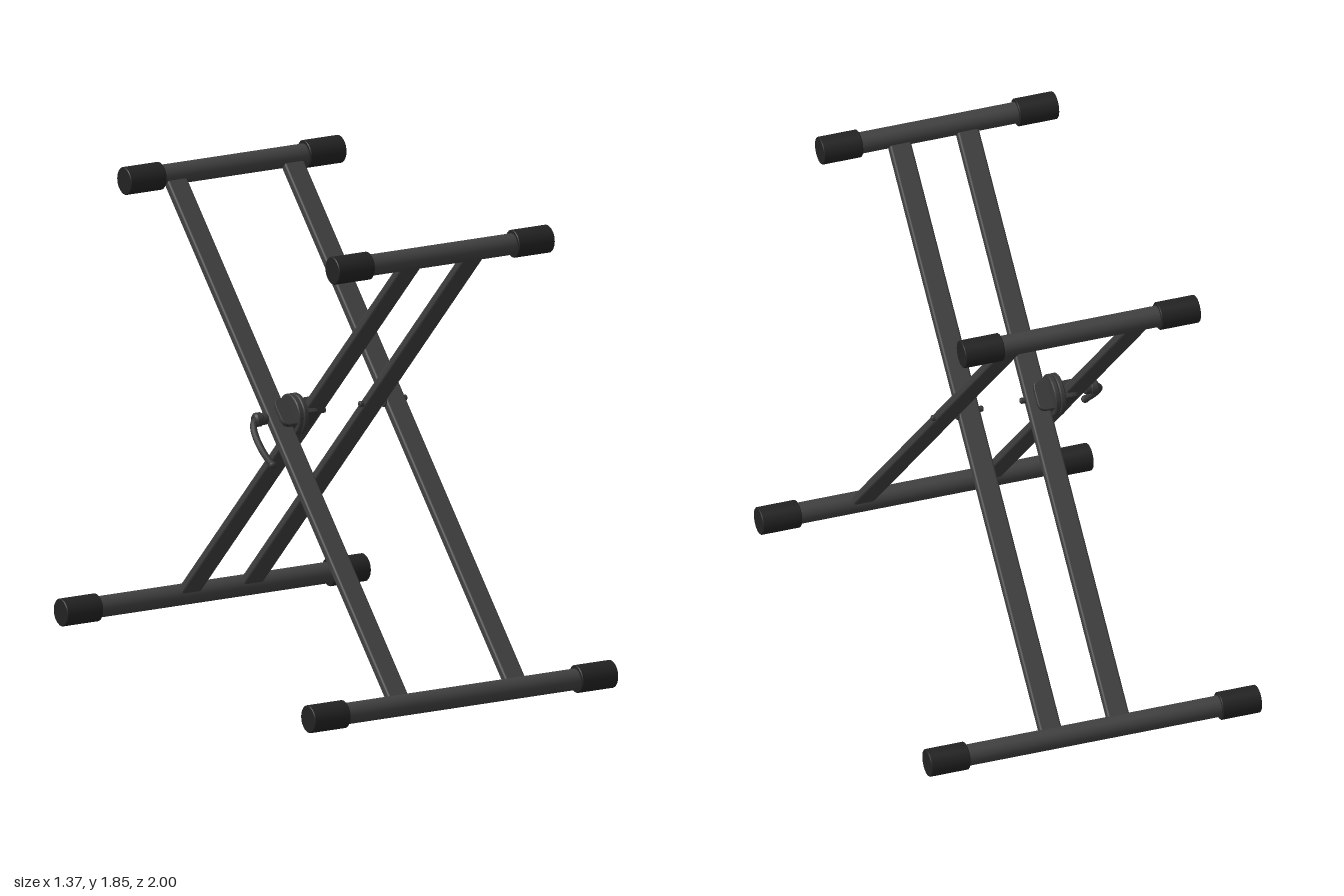
import * as THREE from 'three';
import { RoundedBoxGeometry } from 'three/addons/geometries/RoundedBoxGeometry.js';

const mat = (name, color) => new THREE.MeshStandardMaterial({ name, color });

export function createModel() {
  const metal = mat('dark grey metal', 0x404040);
  const rubber = mat('black rubber', 0x222222);
  const plastic = mat('grey plastic', 0x383838);

  const model = new THREE.Group();
  model.name = 'foldingStand';
  const PIVOT_Y = 1.0025;

  const add = (parent, name, geometry, material, x = 0, y = 0, z = 0) => {
    const mesh = new THREE.Mesh(geometry, material);
    mesh.name = name;
    mesh.position.set(x, y, z);
    parent.add(mesh);
    return mesh;
  };

  // Solid of revolution along x, with slightly chamfered rims
  const rod = (parent, name, x0, x1, r, material, y = 0, chamfer = 0.003) => {
    const h = (x1 - x0) / 2;
    const pts = [[0, -h], [r - chamfer, -h], [r - chamfer, -h], [r, -h + chamfer], [r, -h + chamfer],
      [r, h - chamfer], [r, h - chamfer], [r - chamfer, h], [r - chamfer, h], [0, h]];
    const geo = new THREE.LatheGeometry(pts.map(p => new THREE.Vector2(...p)), 32);
    geo.rotateZ(-Math.PI / 2);
    return add(parent, name, geo, material, (x0 + x1) / 2, y);
  };

  // Cross bar with a rubber sleeve on each end
  const crossBar = (parent, name, y, half) => {
    const bar = new THREE.Group();
    bar.name = name;
    bar.position.y = y;
    parent.add(bar);
    rod(bar, 'barTube', -half + 0.02, half - 0.02, 0.042, metal);
    rod(bar, 'rightEndCap', -half, -half + 0.162, 0.055, rubber);
    rod(bar, 'leftEndCap', half - 0.162, half, 0.055, rubber);
  };

  // One leaning frame: two flat legs, a foot bar and a top bar
  const FOOT = -1.338, TOP = 1.126;
  const frame = (name, angle, legXs) => {
    const g = new THREE.Group();
    g.name = name;
    g.position.y = PIVOT_Y;
    g.rotation.x = angle;
    model.add(g);
    for (const x of legXs) {
      add(g, 'leg', new RoundedBoxGeometry(0.09, TOP - FOOT, 0.036, 3, 0.01), metal, x, (TOP + FOOT) / 2);
    }
    crossBar(g, 'footBar', FOOT, 0.685);
    crossBar(g, 'topBar', TOP, 0.487);
    return g;
  };
  const outer = frame('outerFrame', -Math.PI / 4, [-0.268, 0.26]);
  const inner = frame('innerFrame', Math.PI / 4, [-0.115, 0.166]);

  // Clutch bracket: D-shaped block straddling a leg, rounded away from the disc
  const bracket = (parent, name, xFlat, dir) => {
    const w = 0.066 * dir, a = 0.062, r = 0.035;
    const s = new THREE.Shape();
    s.moveTo(0, -a);
    s.lineTo(w - r * dir, -a);
    s.quadraticCurveTo(w, -a, w, -a + r);
    s.lineTo(w, a - r);
    s.quadraticCurveTo(w, a, w - r * dir, a);
    s.lineTo(0, a);
    const geo = new THREE.ExtrudeGeometry(s, {
      depth: 0.064, bevelSize: 0.004, bevelThickness: 0.004, bevelOffset: -0.004, bevelSegments: 2, curveSegments: 8,
    });
    geo.translate(0, 0, -0.032);
    add(parent, name, geo, plastic, xFlat);
  };
  bracket(outer, 'outerClutchBracket', -0.209, -1);
  bracket(inner, 'innerClutchBracket', -0.172, 1);

  // Locking disc between the legs, in two halves
  rod(model, 'outerClutchDisc', -0.213, -0.192, 0.083, plastic, PIVOT_Y, 0.004);
  rod(model, 'innerClutchDisc', -0.19, -0.169, 0.083, plastic, PIVOT_Y, 0.004);

  // Pivot bolts
  rod(model, 'clutchBolt', -0.33, -0.05, 0.012, plastic, PIVOT_Y);
  rod(model, 'pivotBolt', 0.104, 0.317, 0.012, plastic, PIVOT_Y);
  rod(model, 'spacer', 0.208, 0.218, 0.025, plastic, PIVOT_Y);

  // Locking lever: hub and a curved handle lying along the outer leg
  const lever = new THREE.Group();
  lever.name = 'lockingLever';
  outer.add(lever);
  rod(lever, 'leverHub', -0.352, -0.313, 0.024, plastic, 0, 0.005);
  rod(lever, 'leverHead', -0.372, -0.335, 0.028, plastic, 0, 0.008);
  const path = new THREE.CatmullRomCurve3([
    [-0.355, 0.004], [-0.376, -0.012], [-0.39, -0.05], [-0.393, -0.11], [-0.386, -0.165], [-0.374, -0.207],
  ].map(([x, y]) => new THREE.Vector3(x, y, 0)));
  add(lever, 'leverHandle', new THREE.TubeGeometry(path, 28, 0.0135, 12), plastic);
  const tip = add(lever, 'leverTip', new THREE.SphereGeometry(0.0155, 16, 12), plastic, -0.373, -0.207);
  tip.scale.y = 0.9;

  return model;
}
